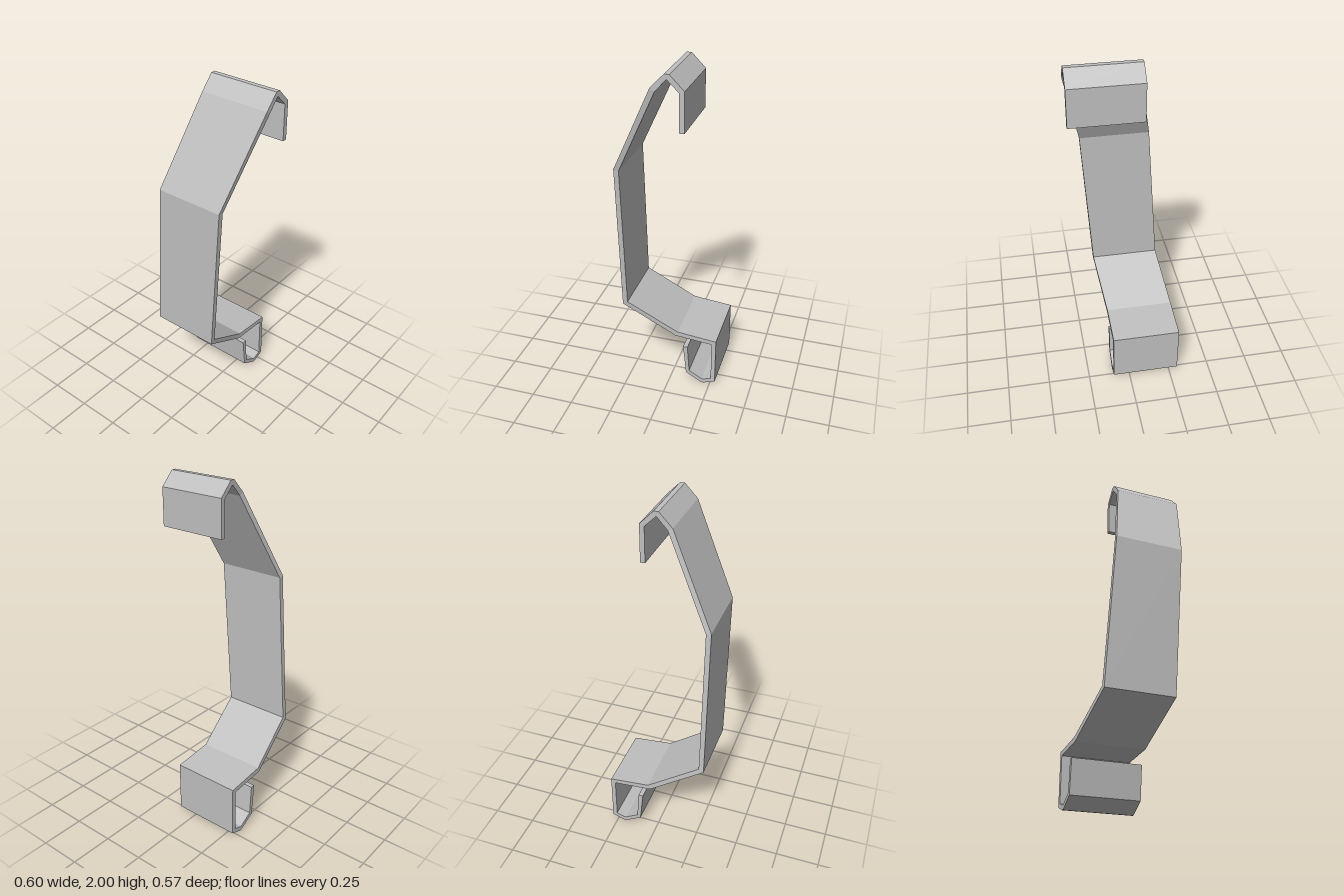
import * as THREE from 'three';

// Strip profile, from the rear tip of the top hook to the tip of the lower hook:
// [z, y of the first face, z, y of the second face, x of the strip's centre]
const SECTIONS = [
  [-0.137, 1.71, -0.11, 1.71, 0.1],
  [-0.137, 1.923, -0.11, 1.912, 0.1],
  [-0.06, 2.0, -0.048, 1.972, 0.1],
  [-0.033, 2.0, -0.044, 1.972, 0.1],
  [0.04, 1.923, 0.014, 1.908, 0.1],
  [0.283, 1.425, 0.254, 1.418, 0],
  [0.283, 0.522, 0.254, 0.54, -0.06],
  [-0.033, 0.323, -0.045, 0.352, -0.1],
  [-0.257, 0.303, -0.283, 0.328, -0.1],
  [-0.257, 0.043, -0.283, 0.026, -0.1],
  [-0.208, 0.027, -0.212, 0.0, -0.1],
  [-0.2, 0.027, -0.197, 0.0, -0.1],
  [-0.12, 0.074, -0.1, 0.058, -0.1],
  [-0.107, 0.25, -0.08, 0.25, -0.1],
];
const HALF_WIDTH = 0.2;

// Skins consecutive four-cornered sections and closes both ends
function stripGeometry(sections) {
  const rings = sections.map(([za, ya, zb, yb, x]) => [
    [x + HALF_WIDTH, ya, za],
    [x - HALF_WIDTH, ya, za],
    [x - HALF_WIDTH, yb, zb],
    [x + HALF_WIDTH, yb, zb],
  ]);
  const positions = [];
  const quad = (a, b, c, d) => positions.push(...a, ...b, ...c, ...a, ...c, ...d);
  for (let i = 0; i < rings.length - 1; i++) {
    const cur = rings[i], next = rings[i + 1];
    for (let k = 0; k < 4; k++) {
      const n = (k + 1) % 4;
      quad(cur[k], cur[n], next[n], next[k]);
    }
  }
  const first = rings[0];
  quad(first[0], first[3], first[2], first[1]);
  quad(...rings[rings.length - 1]);

  const geometry = new THREE.BufferGeometry();
  geometry.setAttribute('position', new THREE.Float32BufferAttribute(positions, 3));
  geometry.computeVertexNormals(); // separate corners keep every bend crisp
  return geometry;
}

export function createModel() {
  const steel = new THREE.MeshStandardMaterial({ color: 0xbfbfbf });
  steel.name = 'grey steel';

  const group = new THREE.Group();
  group.name = 'bentClip';

  // One continuous bent strip, with a hook at each end
  const strip = new THREE.Mesh(stripGeometry(SECTIONS), steel);
  strip.name = 'bentStrip';
  group.add(strip);
  return group;
}
